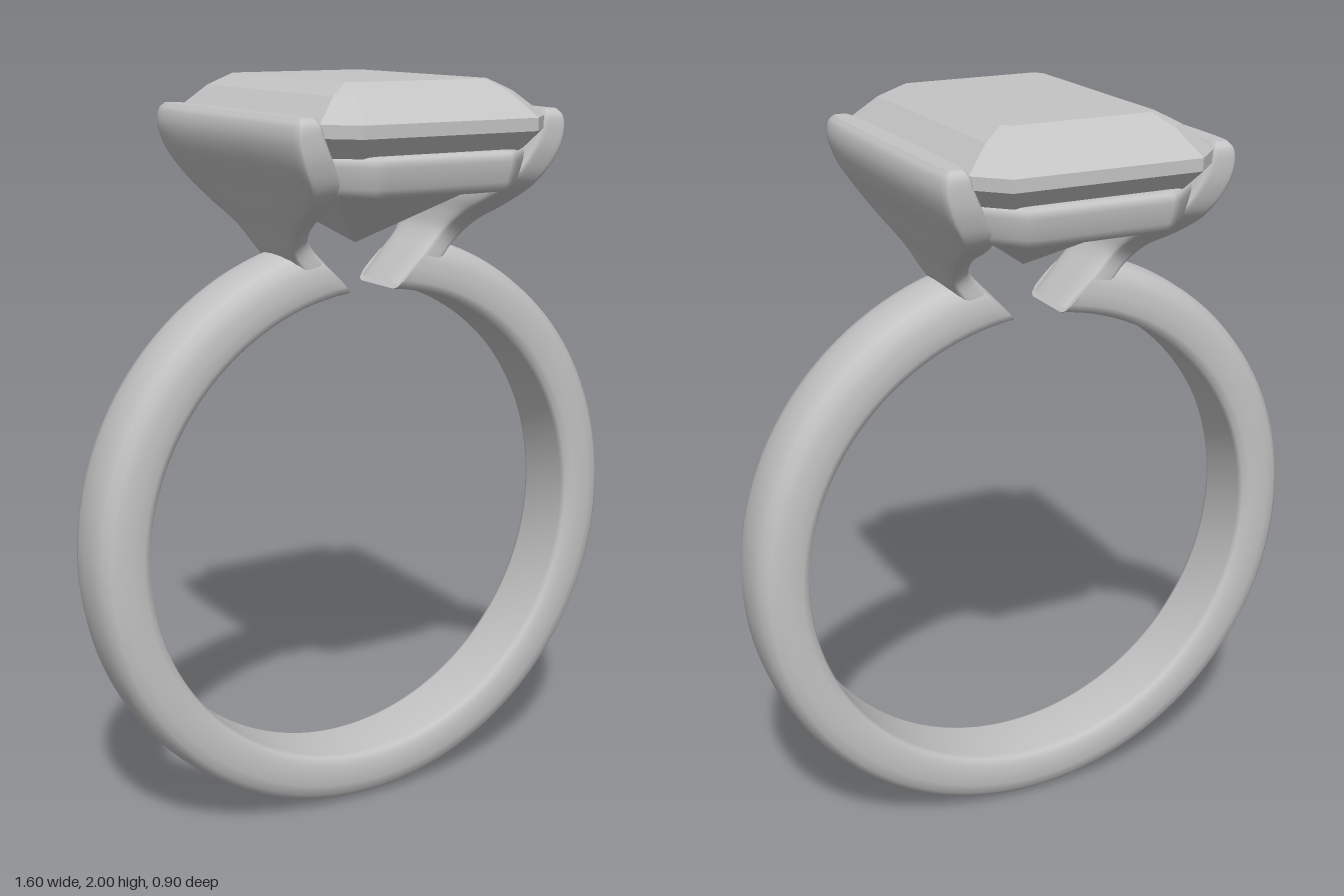
import * as THREE from 'three';

const V = (x, y, z) => new THREE.Vector3(x, y, z);

// Skin a row of equal-length vertex loops; ends are capped, or joined when closed.
function loft(loops, { closed = false, flat = false } = {}) {
  const n = loops[0].length, m = loops.length, pos = [], idx = [];
  const add = (p) => pos.push(p.x, p.y, p.z) / 3 - 1;
  loops.forEach((l) => l.forEach(add));
  for (let i = 0; i < (closed ? m : m - 1); i++) {
    for (let j = 0; j < n; j++) {
      const k = (j + 1) % n, u = ((i + 1) % m) * n;
      const a = i * n + j, b = i * n + k, c = u + k, d = u + j;
      idx.push(a, b, c, a, c, d);
    }
  }
  if (!closed) {
    [loops[0], loops[m - 1]].forEach((l, e) => {
      const mid = add(l.reduce((s, p) => s.add(p), V(0, 0, 0)).divideScalar(n));
      const ring = l.map(add);
      ring.forEach((r, j) => {
        const q = ring[(j + 1) % n];
        if (e) idx.push(mid, r, q);
        else idx.push(mid, q, r);
      });
    });
  }
  // Turn the skin outward when its signed volume is negative
  const at = (i) => V(pos[3 * i], pos[3 * i + 1], pos[3 * i + 2]);
  let volume = 0;
  for (let t = 0; t < idx.length; t += 3) {
    volume += at(idx[t]).dot(at(idx[t + 1]).cross(at(idx[t + 2])));
  }
  if (volume < 0) idx.reverse();
  let g = new THREE.BufferGeometry();
  g.setAttribute('position', new THREE.Float32BufferAttribute(pos, 3));
  g.setIndex(idx);
  if (flat) g = g.toNonIndexed();
  g.computeVertexNormals();
  return g;
}

// Rectangle with cut corners, at height y
function octagon(x, z, cut, y) {
  return [
    V(x, y, z - cut), V(x - cut, y, z), V(cut - x, y, z), V(-x, y, z - cut),
    V(-x, y, cut - z), V(cut - x, y, -z), V(x - cut, y, -z), V(x, y, cut - z),
  ];
}

// Replace each corner of a loop by two points, for softer bends
function soften(loop, d) {
  const n = loop.length;
  return loop.flatMap((p, i) => [loop[(i + n - 1) % n], loop[(i + 1) % n]].map((q) =>
    p.clone().add(q.clone().sub(p).setLength(d))));
}

// Band: a rounded profile swept round the finger, open at the top with slanted ends
function bandGeometry() {
  const half = [[0.655, 0.08], [0.661, 0.095], [0.68, 0.104], [0.71, 0.105], [0.74, 0.104],
    [0.768, 0.096], [0.787, 0.078], [0.797, 0.045]];
  const profile = [[0.655, 0], ...half, [0.8, 0], ...half.map(([r, z]) => [r, -z]).reverse()];
  const loops = [], steps = 120;
  for (let i = 0; i <= steps; i++) {
    const t = (i / steps) * 2 - 1;
    loops.push(profile.map(([r, z]) => {
      const gap = 0.105 + ((r - 0.655) / 0.145) * 0.15;
      const a = t * (Math.PI - gap);
      return V(r * Math.sin(a), 0.8 - r * Math.cos(a), z);
    }));
  }
  return loft(loops);
}

// Shoulder: narrow at the band, flaring into a wide plate that holds the stone
function shoulderGeometry(side) {
  // inner x, inner y, outer x, outer y, half width
  const sections = [
    [0.07, 1.465, 0.13, 1.46, 0.09],
    [0.13, 1.53, 0.2, 1.5, 0.1],
    [0.193, 1.6, 0.25, 1.56, 0.107],
    [0.21, 1.65, 0.278, 1.62, 0.165],
    [0.217, 1.7, 0.312, 1.68, 0.27],
    [0.232, 1.75, 0.345, 1.74, 0.35],
    [0.27, 1.82, 0.385, 1.81, 0.38],
    [0.3, 1.88, 0.4, 1.87, 0.386],
    [0.312, 1.91, 0.393, 1.908, 0.382],
    [0.325, 1.925, 0.378, 1.925, 0.368],
  ];
  const round = (v) => Math.sign(v) * Math.abs(v) ** 0.45;
  const rails = [];
  for (let j = 0; j < 40; j++) {
    const a = (j / 40) * Math.PI * 2, c = round(Math.cos(a)), s = round(Math.sin(a));
    const points = sections.map(([xi, yi, xo, yo, w]) => {
      const k = (c + 1) / 2;
      // Keep the long edges rounded rather than boxy
      const z = Math.sign(s) * (w - 0.05 * (1 - Math.abs(s))) * Math.min(1, Math.abs(s) * 1.05);
      return V(side * (xi + (xo - xi) * k), yi + (yo - yi) * k, z);
    });
    rails.push(new THREE.CatmullRomCurve3(points).getPoints(45));
  }
  return loft(rails[0].map((_, i) => rails.map((r) => r[i])));
}

// Rail under the stone: a rounded section carried round a cut-corner loop
function railGeometry() {
  const loops = [];
  for (let i = 0; i < 20; i++) {
    const a = (i / 20) * Math.PI * 2;
    const c = Math.sign(Math.cos(a)) * Math.abs(Math.cos(a)) ** 0.6;
    const s = Math.sign(Math.sin(a)) * Math.abs(Math.sin(a)) ** 0.6;
    const d = 0.036 * c + 0.012 * s;
    loops.push(soften(octagon(0.262 + d, 0.4 + d, 0.085 + d * 0.586, 1.782 + 0.052 * s), 0.015));
  }
  return loft(loops, { closed: true });
}

// Step-cut stone: table, crown, girdle, pavilion and point
function stoneGeometry() {
  const tiers = [
    [0.205, 0.312, 0.02, 2.0],
    [0.26, 0.368, 0.04, 1.97],
    [0.325, 0.45, 0.075, 1.91],
    [0.325, 0.45, 0.075, 1.878],
    [0.295, 0.41, 0.068, 1.835],
    [0.22, 0.3, 0.05, 1.73],
    [0.001, 0.001, 0.0003, 1.57],
  ];
  return loft(tiers.map((t) => octagon(...t)), { flat: true });
}

export function createModel() {
  const silver = new THREE.MeshStandardMaterial({ color: 0xc4c4c4 });
  silver.name = 'silver grey';
  const group = new THREE.Group();
  group.name = 'ring';
  const put = (name, geometry) => {
    const mesh = new THREE.Mesh(geometry, silver);
    mesh.name = name;
    group.add(mesh);
  };
  put('band', bandGeometry());
  put('leftShoulder', shoulderGeometry(1));
  put('rightShoulder', shoulderGeometry(-1));
  put('stoneRail', railGeometry());
  put('stone', stoneGeometry());
  return group;
}
